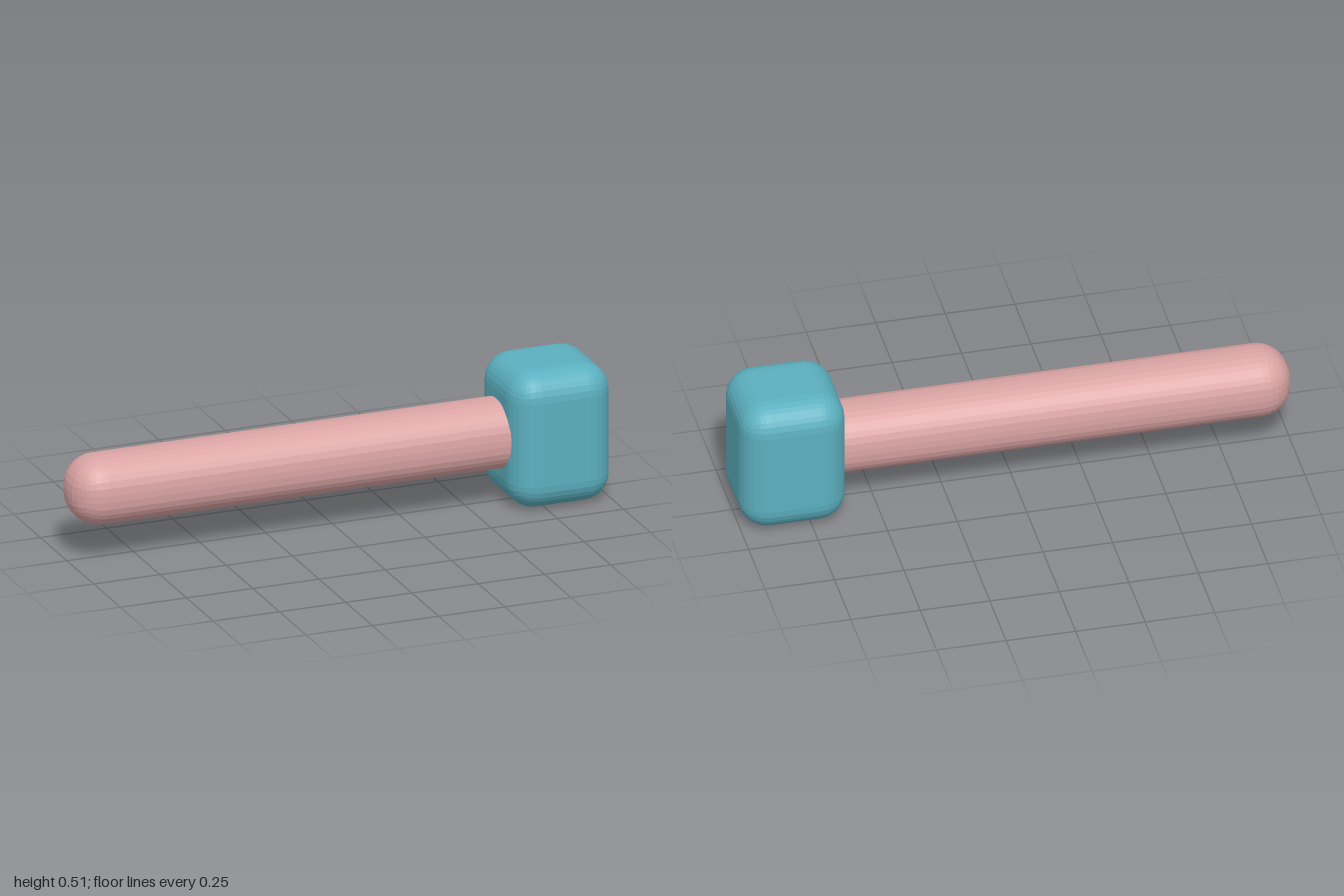
import * as THREE from 'three';
import { RoundedBoxGeometry } from 'three/addons/geometries/RoundedBoxGeometry.js';

const CENTRE_Y = 0.255;

// Rounded block spanning x0..x1, centred on the mallet's long axis
function roundedBar(name, x0, x1, height, depth, radius, color) {
  const geometry = new RoundedBoxGeometry(x1 - x0, height, depth, 4, radius);
  const material = new THREE.MeshStandardMaterial({ color, flatShading: true });
  const mesh = new THREE.Mesh(geometry, material);
  mesh.name = name;
  mesh.position.set((x0 + x1) / 2, CENTRE_Y, 0);
  return mesh;
}

export function createModel() {
  const model = new THREE.Group();
  model.name = 'mallet';

  // Long soft-ended handle, sunk into the head
  model.add(roundedBar('handle', -1, 0.8, 0.25, 0.25, 0.113, 0xdba4a4));

  // Upright block head with rounded edges
  model.add(roundedBar('head', 0.62, 1, 0.51, 0.38, 0.1, 0x5cb0c0));

  return model;
}
